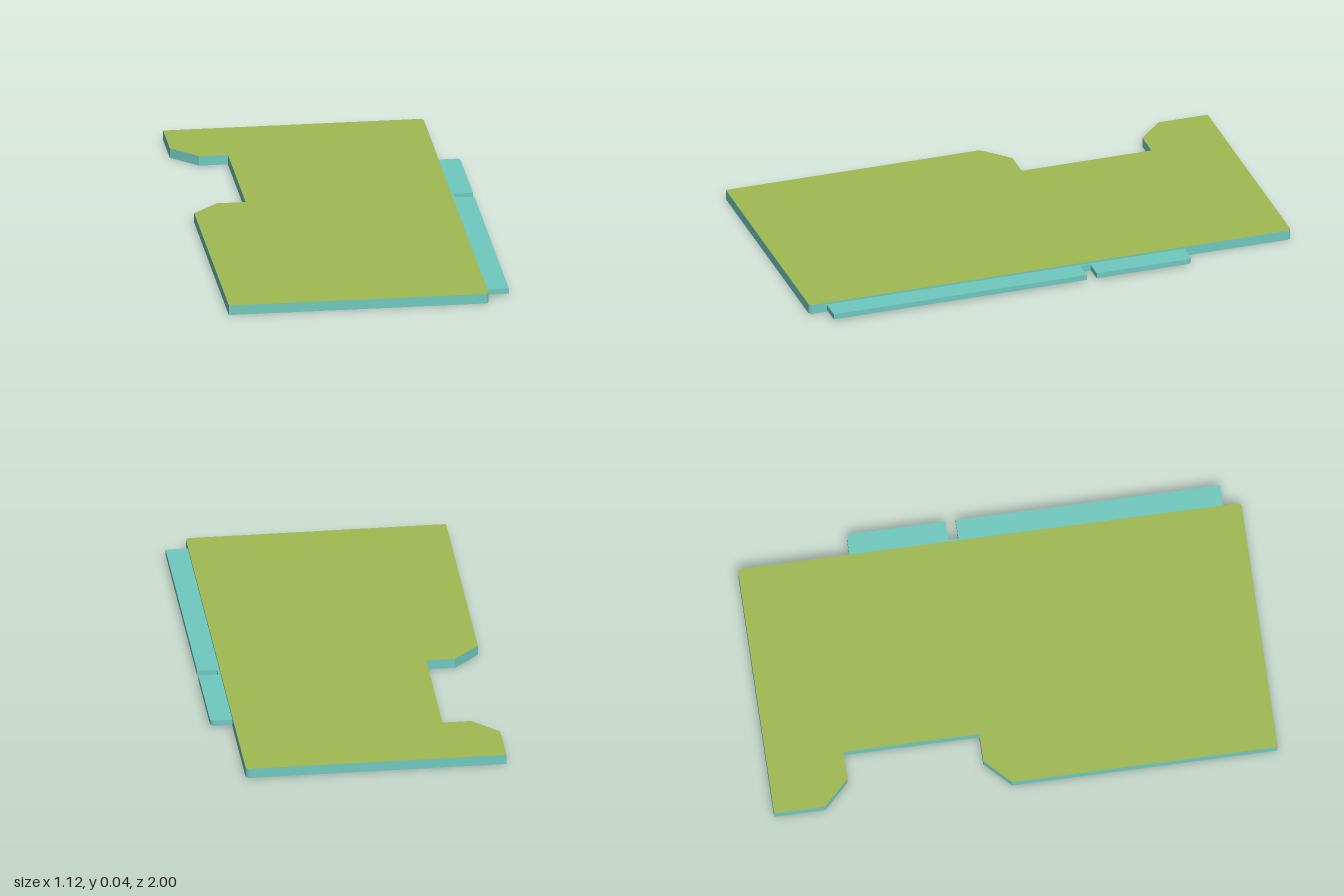
import * as THREE from 'three';

const green = new THREE.MeshStandardMaterial({ color: 0xa0ba52, flatShading: true });
const teal = new THREE.MeshStandardMaterial({ color: 0x70cac0, flatShading: true });

// Flat plate from an [x, z] outline, standing between two heights
function plate(name, outline, bottom, top, materials) {
  const shape = new THREE.Shape(outline.map(([x, z]) => new THREE.Vector2(x, -z)));
  const geometry = new THREE.ExtrudeGeometry(shape, { depth: top - bottom, bevelEnabled: false });
  geometry.rotateX(-Math.PI / 2);
  geometry.translate(0, bottom, 0);
  const mesh = new THREE.Mesh(geometry, materials);
  mesh.name = name;
  return mesh;
}

// Small rounded corner: points on an arc around (cx, cz), angles in quarter turns
function corner(cx, cz, r, from, to, steps = 4) {
  return Array.from({ length: steps + 1 }, (_, i) => {
    const a = (from + (to - from) * i / steps) * Math.PI / 2;
    return [cx + r * Math.cos(a), cz + r * Math.sin(a)];
  });
}

export function createModel() {
  const model = new THREE.Group();
  model.name = 'circuitCard';

  // Board with a chamfered notch in its right edge
  const r = 0.016;
  model.add(plate('board', [
    [-0.56, 1],
    ...corner(0.472 - r, 1 - r, r, 1, 0),
    ...corner(0.472 - r, -1 + r, r, 0, -1),
    [-0.56, -1], [-0.56, -0.797], [-0.457, -0.694], [-0.343, -0.694],
    [-0.343, -0.155], [-0.457, -0.155], [-0.56, -0.055],
  ], 0, 0.04, [green, teal]));

  // Thinner edge connector with a keying slot
  model.add(plate('edgeConnector', [
    [0.46, 0.928], [0.56, 0.928], [0.56, -0.122], [0.482, -0.122],
    [0.482, -0.163], [0.56, -0.163],
    ...corner(0.56 - r, -0.556 + r, r, 0, -1),
    [0.46, -0.556],
  ], 0.01, 0.032, teal));

  return model;
}
